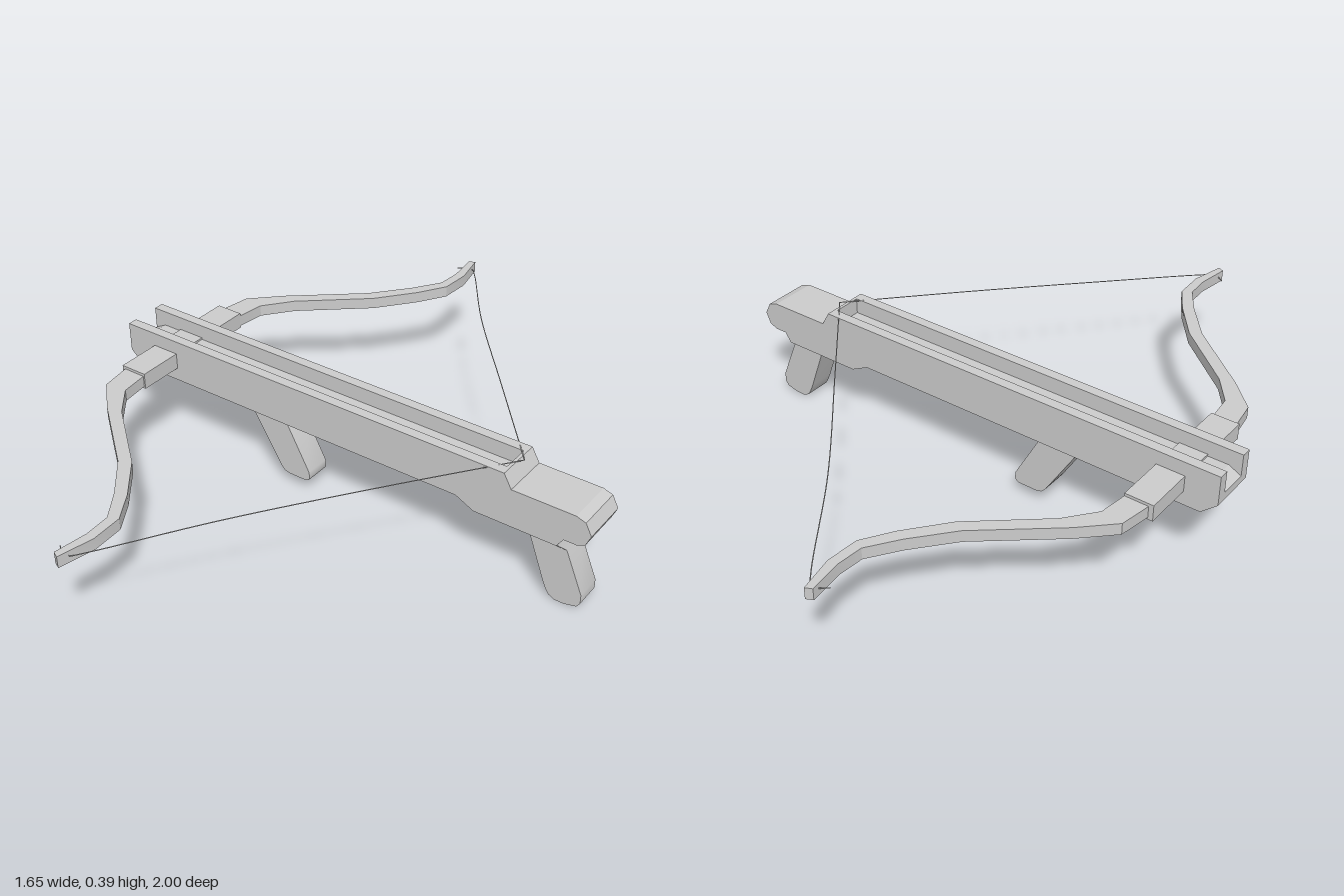
import * as THREE from 'three';
import { toCreasedNormals } from 'three/addons/utils/BufferGeometryUtils.js';

const material = new THREE.MeshStandardMaterial({ color: 0xcccccc, side: THREE.DoubleSide });
const Z_MID = 0.006;

function addMesh(parent, name, geometry) {
  const mesh = new THREE.Mesh(geometry, material);
  mesh.name = name;
  parent.add(mesh);
  return mesh;
}

// Side profile in x/y pushed along z from z0 to z1
function slab(points, z0, z1) {
  const shape = new THREE.Shape(points.map(([x, y]) => new THREE.Vector2(x, y)));
  return new THREE.ExtrudeGeometry(shape, { depth: z1 - z0, bevelEnabled: false }).translate(0, 0, z0);
}

// Closed skin through four-cornered rings, counterclockwise about the direction of travel
function loft(rings, crease = 0.5) {
  const index = [];
  const last = (rings.length - 1) * 4;
  for (let i = 0; i < rings.length - 1; i++) {
    for (let j = 0; j < 4; j++) {
      const a = i * 4 + j, b = i * 4 + (j + 1) % 4;
      index.push(a, b, b + 4, a, b + 4, a + 4);
    }
  }
  index.push(0, 2, 1, 0, 3, 2, last, last + 1, last + 2, last, last + 2, last + 3);
  const geometry = new THREE.BufferGeometry();
  geometry.setAttribute('position', new THREE.Float32BufferAttribute(rings.flat(2), 3));
  geometry.setIndex(index);
  return toCreasedNormals(geometry, crease);
}

// Handle rows, top to bottom: [y, x front, x back, half width]
function handle(rows) {
  return loft(rows.map(([y, x0, x1, w]) => [
    [x0, y, Z_MID - w], [x1, y, Z_MID - w], [x1, y, Z_MID + w], [x0, y, Z_MID + w],
  ]));
}

// Bow limb edges: [x outer, z outer, x inner, z inner]
const LIMB = [
  [-0.715, 0.20, -0.64, 0.20],
  [-0.715, 0.23, -0.64, 0.23],
  [-0.70, 0.33, -0.63, 0.32],
  [-0.61, 0.42, -0.56, 0.41],
  [-0.395, 0.60, -0.36, 0.58],
  [-0.30, 0.715, -0.265, 0.70],
  [-0.24, 0.805, -0.21, 0.79],
  [-0.235, 0.885, -0.205, 0.89],
  [-0.25, 0.99, -0.23, 1.0],
];

// The back limb sits slightly further toward the butt
const skew = (x, z, side) => x + (side < 0 ? 0.022 * z : 0);

function limb(side) {
  return loft(LIMB.map(([xo, zo, xi, zi]) => {
    const a = skew(xo, zo, side), b = skew(xi, zi, side);
    const ring = [[a, 0.3, side * zo], [b, 0.3, side * zi], [b, 0.337, side * zi], [a, 0.337, side * zo]];
    return side > 0 ? ring : ring.reverse();
  }), 0.3);
}

export function createModel() {
  const model = new THREE.Group();
  model.name = 'crossbow';

  // Stock: two full-height rails with a lower core that leaves the bolt groove
  const stock = new THREE.Group();
  stock.name = 'stock';
  model.add(stock);
  const lower = [
    [0.575, 0.345], [0.775, 0.345], [0.805, 0.335], [0.825, 0.297], [0.81, 0.262],
    [0.785, 0.25], [0.745, 0.25], [0.725, 0.22], [0.46, 0.22], [0.4, 0.25],
    [-0.78, 0.25], [-0.83, 0.295],
  ];
  const railProfile = [[-0.83, 0.39], [0.55, 0.39], ...lower];
  const coreProfile = [[-0.83, 0.32], [-0.79, 0.34], [0.54, 0.34], [0.54, 0.39], [0.55, 0.39], ...lower];
  addMesh(stock, 'backRail', slab(railProfile, -0.071, -0.039));
  addMesh(stock, 'grooveCore', slab(coreProfile, -0.039, 0.051));
  addMesh(stock, 'frontRail', slab(railProfile, 0.051, 0.083));

  // Grips below the stock
  addMesh(model, 'foreGrip', handle([
    [0.26, -0.375, -0.235, 0.043], [0.235, -0.36, -0.235, 0.043], [0.215, -0.35, -0.222, 0.043],
    [0.075, -0.265, -0.147, 0.043], [0.055, -0.252, -0.145, 0.043],
    [0.045, -0.242, -0.149, 0.043], [0.04, -0.225, -0.16, 0.043],
  ]));
  addMesh(model, 'rearGrip', handle([
    [0.255, 0.6, 0.72, 0.075], [0.22, 0.615, 0.73, 0.075], [0.19, 0.627, 0.743, 0.043],
    [0.055, 0.677, 0.8, 0.043], [0.025, 0.69, 0.8, 0.043],
    [0.01, 0.7, 0.79, 0.043], [0, 0.72, 0.75, 0.043],
  ]));

  // Bow: mounting block through the stock, limbs and drawn string
  const block = addMesh(model, 'limbMount', new THREE.BoxGeometry(0.09, 0.052, 0.46));
  block.position.set(-0.68, 0.32, 0);
  for (const side of [1, -1]) {
    const label = side > 0 ? 'front' : 'back';
    addMesh(model, label + 'Limb', limb(side));
    const tipX = skew(-0.23, 0.97, side);
    const string = new THREE.CatmullRomCurve3([
      [tipX - 0.04, 0.322, 0.95], [tipX, 0.322, 0.975], [tipX + 0.03, 0.325, 0.945],
      [0.03, 0.353, 0.65], [0.3, 0.376, 0.32], [0.565, 0.392, 0],
    ].map(([x, y, z]) => new THREE.Vector3(x, y, side * z)));
    addMesh(model, label + 'String', new THREE.TubeGeometry(string, 40, 0.0016, 5));
  }
  return model;
}
